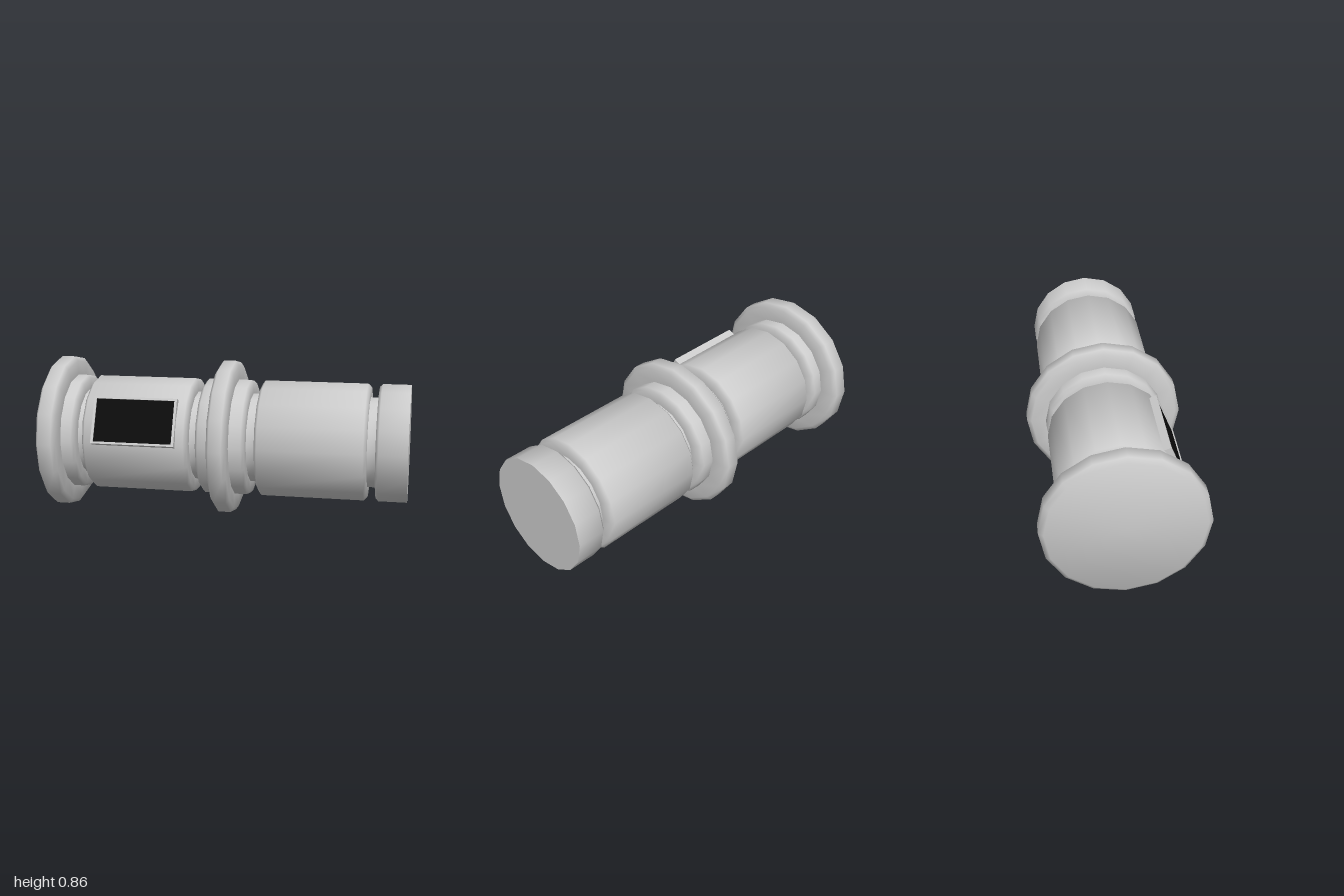
import * as THREE from 'three';
import { toCreasedNormals } from 'three/addons/utils/BufferGeometryUtils.js';

const SIDES = 16;
const AXIS_Y = 0.43;
const FLANGE = 0.43, BODY = 0.325, GROOVE = 0.25;

// Turned part along x from [x, radius] pairs
function turned(name, profile, material) {
  const points = profile.map(([x, r]) => new THREE.Vector2(r, x));
  const geometry = toCreasedNormals(new THREE.LatheGeometry(points, SIDES), Math.PI / 3);
  geometry.rotateZ(-Math.PI / 2);
  const mesh = new THREE.Mesh(geometry, material);
  mesh.name = name;
  return mesh;
}

// Sleeve with bevelled ends, rising from the groove on both sides
const sleeve = (x0, x1) => [
  [x0, GROOVE], [x0, 0.308], [x0 + 0.016, BODY],
  [x1 - 0.016, BODY], [x1, 0.308], [x1, GROOVE],
];

export function createModel() {
  const model = new THREE.Group();
  const grey = new THREE.MeshStandardMaterial({ color: 0xcccccc });
  const black = new THREE.MeshStandardMaterial({ color: 0x0c0c0c });

  const barrel = new THREE.Group();
  barrel.name = 'barrel';
  barrel.position.y = AXIS_Y;
  model.add(barrel);

  // Flanges, sleeves and end cap
  const parts = {
    endFlange: [
      [-1, 0], [-1, 0.405], [-0.982, FLANGE], [-0.908, FLANGE], [-0.89, 0.405],
      [-0.89, BODY], [-0.831, BODY], [-0.815, 0.308], [-0.815, GROOVE],
    ],
    windowSleeve: sleeve(-0.77, -0.18),
    middleFlange: [
      [-0.133, GROOVE], [-0.133, 0.308], [-0.117, BODY], [-0.052, BODY],
      [-0.052, 0.405], [-0.034, FLANGE], [0.034, FLANGE], [0.052, 0.405],
      [0.052, BODY], [0.119, BODY], [0.135, 0.308], [0.135, GROOVE],
    ],
    plainSleeve: sleeve(0.188, 0.783),
    endCap: [[0.83, GROOVE], [0.83, 0.308], [0.846, BODY], [1, BODY], [1, 0]],
  };
  for (const [name, profile] of Object.entries(parts)) barrel.add(turned(name, profile, grey));

  // Narrow necks showing in the grooves
  for (const [x0, x1] of [[-0.815, -0.77], [-0.18, -0.133], [0.135, 0.188], [0.783, 0.83]]) {
    barrel.add(turned('neck', [[x0, GROOVE], [x1, GROOVE]], grey));
  }

  // Framed display, tilted upward on the front of the sleeve
  const display = new THREE.Group();
  display.name = 'display';
  display.position.x = -0.473;
  display.rotation.x = -Math.PI / 8;
  barrel.add(display);

  const rect = (Type, w, h) => new Type([
    new THREE.Vector2(-w, -h), new THREE.Vector2(w, -h),
    new THREE.Vector2(w, h), new THREE.Vector2(-w, h),
  ]);
  const outline = rect(THREE.Shape, 0.233, 0.132);
  outline.holes.push(rect(THREE.Path, 0.219, 0.12));
  const frame = new THREE.Mesh(
    new THREE.ExtrudeGeometry(outline, { depth: 0.045, bevelEnabled: false }), grey);
  frame.name = 'displayFrame';
  frame.position.z = 0.291;
  display.add(frame);

  const screen = new THREE.Mesh(new THREE.PlaneGeometry(0.438, 0.24), black);
  screen.name = 'screen';
  screen.position.z = 0.33;
  display.add(screen);

  return model;
}
